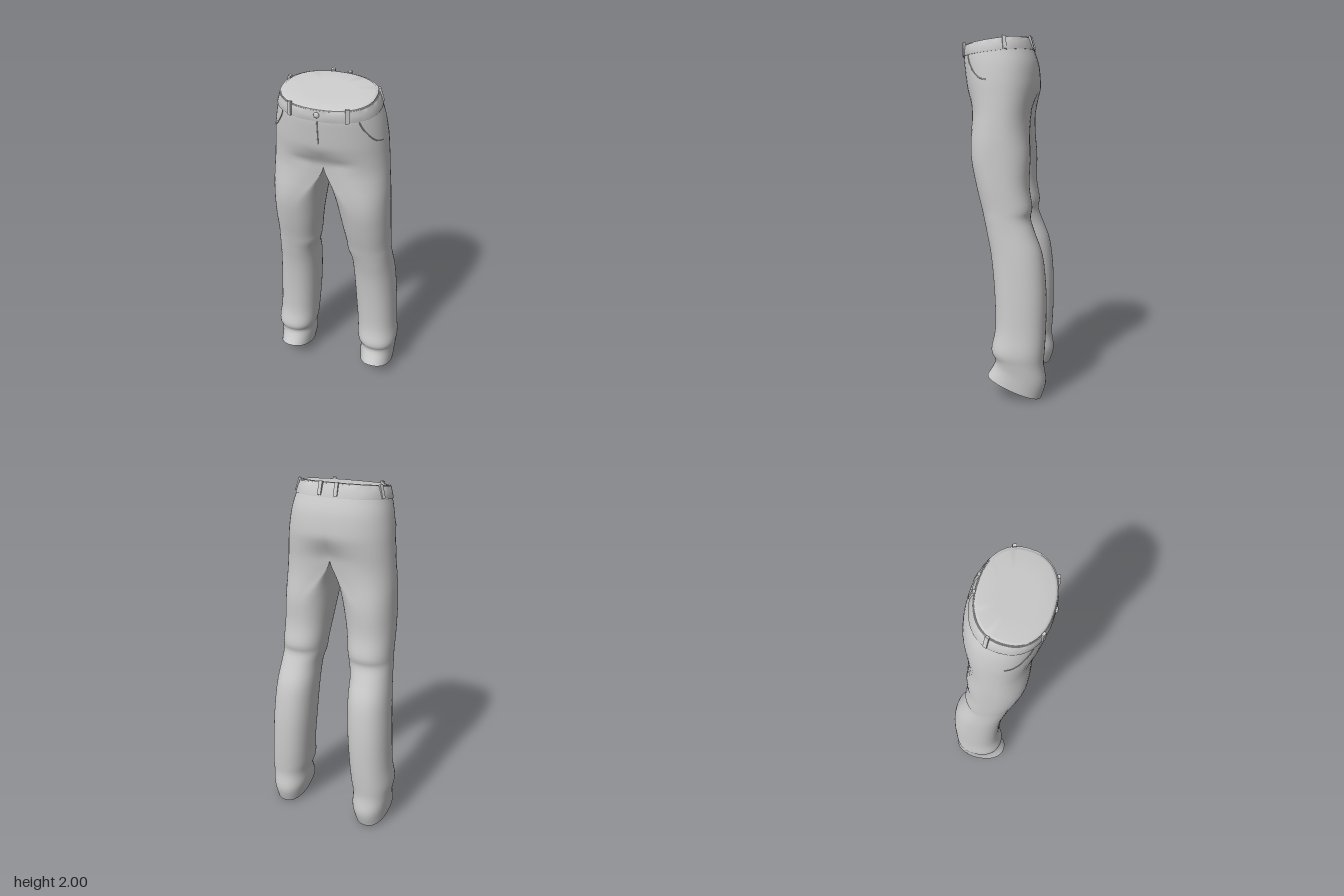
import * as THREE from 'three';
import { mergeGeometries, mergeVertices, toCreasedNormals } from 'three/addons/utils/BufferGeometryUtils.js';

const { smoothstep, lerp } = THREE.MathUtils;
const N = 48, SUB = 4, CROTCH = 5;

// Cross-sections from waist to hem: y, tilt, inner x, outer x, front z, back z
const ROWS = [
  [1.975, -0.025, 0, 0.243, 0.248, -0.115],
  [1.91, -0.02, 0, 0.264, 0.25, -0.142],
  [1.84, -0.01, 0, 0.283, 0.244, -0.168],
  [1.75, 0, 0, 0.298, 0.234, -0.178],
  [1.67, 0, 0, 0.306, 0.222, -0.175],
  [1.59, 0, 0, 0.313, 0.213, -0.167],
  [1.5, 0, 0.014, 0.32, 0.208, -0.157],
  [1.4, 0, 0.03, 0.326, 0.196, -0.149],
  [1.2, 0, 0.064, 0.332, 0.154, -0.14],
  [1.07, 0, 0.083, 0.334, 0.121, -0.158],
  [1.01, 0, 0.09, 0.336, 0.107, -0.15],
  [0.93, 0, 0.11, 0.342, 0.089, -0.176],
  [0.8, 0, 0.116, 0.355, 0.064, -0.222],
  [0.6, 0, 0.126, 0.37, 0.044, -0.244],
  [0.4, 0, 0.141, 0.381, 0.038, -0.245],
  [0.28, 0, 0.15, 0.394, 0.058, -0.24],
  [0.21, 0.015, 0.166, 0.388, 0.036, -0.236],
  [0.14, 0.045, 0.167, 0.381, 0.045, -0.248],
  [0.065, 0.06, 0.178, 0.377, 0.08, -0.223],
];
const LAST = ROWS.length - 1;

// Smooth interpolation between the cross-sections
function section(s) {
  const i = Math.min(Math.floor(s), LAST - 1), t = s - i;
  const row = (k) => ROWS[Math.max(0, Math.min(LAST, k))];
  return ROWS[0].map((_, c) => {
    const p0 = row(i - 1)[c], p1 = row(i)[c], p2 = row(i + 1)[c], p3 = row(i + 2)[c];
    return p1 + 0.5 * t * (p2 - p0 + t * (2 * p0 - 5 * p1 + 4 * p2 - p3 + t * (3 * (p1 - p2) + p3 - p0)));
  });
}

// Point on the +x half: angle 0 is front, PI/2 outer side, PI back, 3PI/2 inner leg
function surf(s, a) {
  const [y, tilt, xi, xo, zf, zb] = section(s);
  const soft = (v) => Math.sign(v) * Math.abs(v) ** 0.88;
  const sn = soft(Math.sin(a)), cs = soft(Math.cos(a)), out = Math.max(0, sn);
  const round = 1 - smoothstep(y, 1.3, 1.59);
  const halfX = xi + (xo - xi) * out;
  const legX = (xi + xo) / 2 + (xo - xi) / 2 * sn;
  const dip = 0.24 * (1 - smoothstep(y, 1.59, 1.74)) * (1 - round) * (1 - out) ** 2;
  const x = s <= CROTCH ? xo * out : lerp(halfX, legX, round);
  let z = (zf + zb) / 2 + (zf - zb) / 2 * cs * (1 - dip);
  // fold running outwards from the crotch
  if (cs > 0) z -= 0.008 * cs * Math.exp(-(((y - 1.63) / 0.025) ** 2)) * Math.exp(-(((x - 0.1) / 0.06) ** 2));
  return new THREE.Vector3(x, y + tilt * cs, z);
}

// Full loop around the waist
function waist(s, a) {
  if (a <= Math.PI) return surf(s, a);
  const p = surf(s, 2 * Math.PI - a);
  p.x *= -1;
  return p;
}

// Surface through rows of points listed from top to bottom
function grid(rows, cols, point, mirror = false) {
  const pos = [], index = [];
  for (let i = 0; i <= rows; i++) {
    for (let j = 0; j <= cols; j++) {
      const p = point(i, j);
      pos.push(mirror ? -p.x : p.x, p.y, p.z);
      if (i === rows || j === cols) continue;
      const a = i * (cols + 1) + j, b = a + 1, c = a + cols + 1, d = c + 1;
      index.push(...(mirror ? [a, b, c, b, d, c] : [a, c, b, b, c, d]));
    }
  }
  const g = new THREE.BufferGeometry();
  g.setAttribute('position', new THREE.Float32BufferAttribute(pos, 3));
  g.setIndex(index);
  return g;
}

const angle = (j) => ((j % N) / N) * 2 * Math.PI;

export function createModel() {
  const model = new THREE.Group();
  const material = new THREE.MeshStandardMaterial({ color: 0xcccccc });
  const add = (name, geometry) => {
    const mesh = new THREE.Mesh(geometry, material);
    mesh.name = name;
    model.add(mesh);
    return mesh;
  };

  // Hips and both legs as one smooth cloth surface
  const cloth = [];
  for (const mirror of [false, true]) {
    cloth.push(grid(CROTCH * SUB, N / 2, (i, j) => surf(i / SUB, angle(j)), mirror));
    cloth.push(grid((LAST - CROTCH) * SUB, N, (i, j) => surf(CROTCH + Math.max(i / SUB, 1e-6), angle(j)), mirror));
  }
  const trousers = mergeVertices(mergeGeometries(cloth), 1e-4);
  trousers.computeVertexNormals();
  add('trousers', trousers);

  // Closed leg ends
  for (const mirror of [false, true]) {
    const centre = new THREE.Vector3();
    for (let j = 0; j < N; j++) centre.addScaledVector(surf(LAST, angle(j)), 1 / N);
    centre.y -= 0.012;
    const hem = grid(3, N, (i, j) => surf(LAST, angle(j)).lerp(centre, i / 3), mirror);
    hem.computeVertexNormals();
    add(mirror ? 'rightHem' : 'leftHem', hem);
  }

  // Waistband with rounded rim and closed top: section, scale, lift
  const band = [[0, 0, 0.002], [0, 0.5, 0.002], [0, 0.93, 0.002], [0, 0.97, 0], [0, 1, -0.006], [0.12, 1.02, 0],
    [0.5, 1.02, 0], [0.95, 1.02, 0], [1, 1.015, 0], [1, 0.99, 0]];
  const bandGeometry = grid(band.length - 1, N, (i, j) => {
    const [s, k, lift] = band[i];
    const [y, , , , zf, zb] = section(s);
    const p = waist(s, angle(j)), cz = (zf + zb) / 2;
    const flat = Math.min(1, k);
    return p.set(p.x * k, lerp(y, p.y, flat) + lift, cz + (p.z - cz) * k);
  });
  add('waistband', toCreasedNormals(bandGeometry, 0.9));

  // Belt loops
  for (const a of [0.56, 1.89, 3.0]) {
    for (const side of [1, -1]) {
      const p = surf(0.48, a), q = surf(0.48, a + 0.02);
      const loop = add('beltLoop', new THREE.BoxGeometry(0.02, 0.072, 0.014));
      const turn = Math.atan2(-(q.z - p.z), q.x - p.x);
      loop.position.set(side * (p.x + Math.sin(turn) * 0.006), p.y, p.z + Math.cos(turn) * 0.006);
      loop.rotation.set(a < 1 ? 0 : -0.25 * Math.cos(turn) * -1, side * turn, 0, 'YXZ');
      if (a >= 1) loop.rotation.x = -0.3;
    }
  }

  // Waist button
  const button = add('button', new THREE.SphereGeometry(0.015, 16, 10));
  button.scale.z = 0.5;
  button.position.copy(surf(0.5, 0)).add(new THREE.Vector3(0, 0, 0.006));

  // Raised seams: curved pocket edges and the fly
  const seam = (name, points) =>
    add(name, new THREE.TubeGeometry(new THREE.CatmullRomCurve3(points), 30, 0.003, 6));
  for (const side of [1, -1]) {
    const points = [];
    for (let i = 0; i <= 10; i++) {
      const t = (i / 10) * Math.PI / 2;
      const p = surf(1.02 + 1.85 * Math.sin(t), 0.8 + 0.55 * (1 - Math.cos(t)));
      p.x *= side;
      points.push(p);
    }
    seam(side > 0 ? 'leftPocketEdge' : 'rightPocketEdge', points);
  }
  seam('flySeam', [1, 1.5, 2, 2.5, 2.9].map((s) => surf(s, 0)));

  return model;
}
